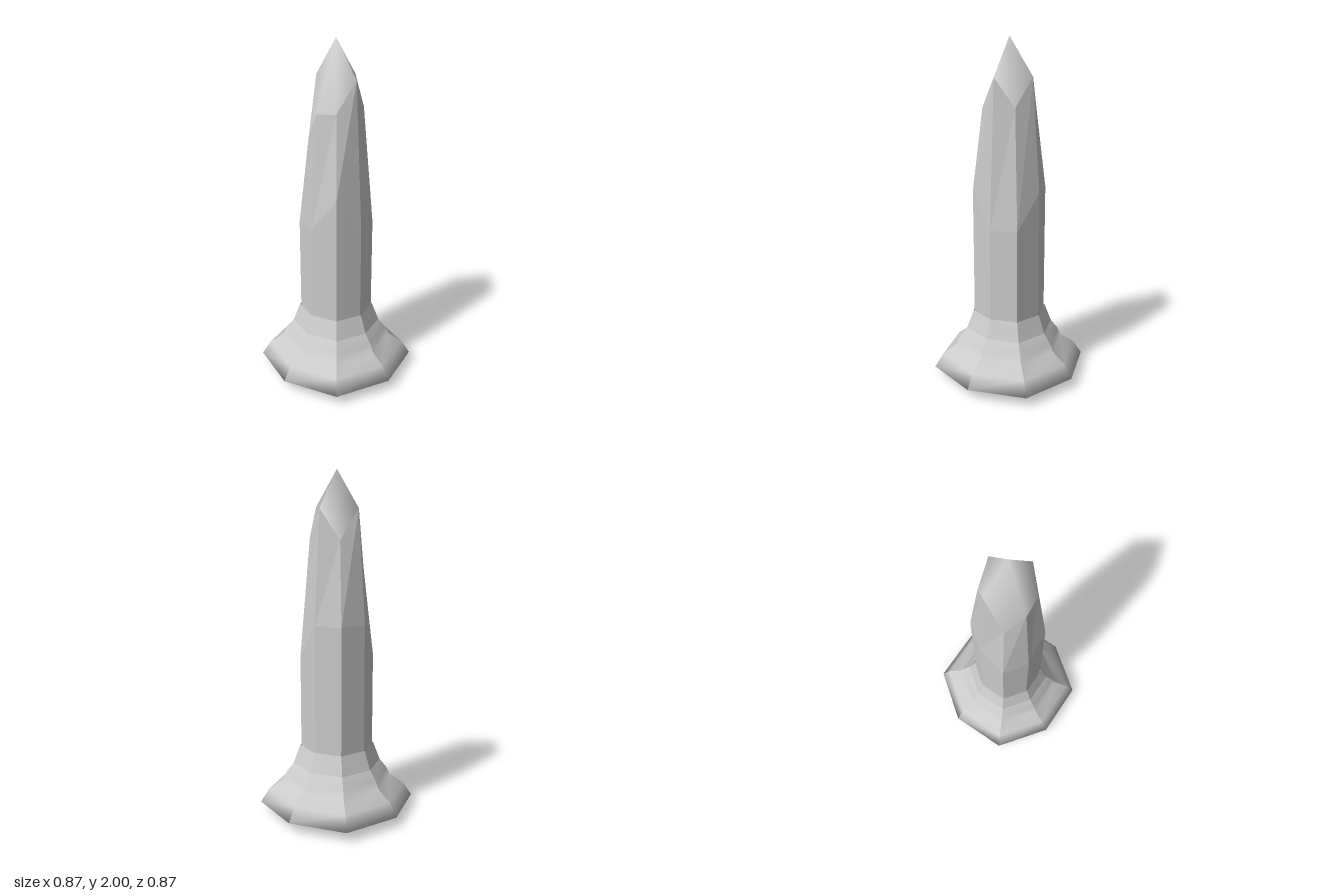
import * as THREE from 'three';

const SIDES = 8;

// One point of an octagonal ring; corner 0 faces +z, corner 2 faces +x
function corner(i, radius, y) {
  const a = (i % SIDES) * Math.PI * 2 / SIDES;
  return [Math.sin(a) * radius, y, Math.cos(a) * radius];
}

function geometryFrom(points, index) {
  const g = new THREE.BufferGeometry();
  g.setAttribute('position', new THREE.Float32BufferAttribute(points.flat(), 3));
  g.setIndex(index);
  return g;
}

// Skin rings (lowest first) side by side; each side keeps its own vertices,
// so it is smooth along the profile and sharp at the corners
function skin(rings, flat = false) {
  const points = [], index = [];
  for (let i = 0; i < SIDES; i++) {
    const start = points.length;
    rings.forEach((ring, k) => {
      points.push(ring[i], ring[(i + 1) % SIDES]);
      if (k === 0) return;
      const c = start + 2 * k, a = c - 2;
      index.push(a, a + 1, c + 1, a, c + 1, c);
    });
  }
  let g = geometryFrom(points, index);
  if (flat) g = g.toNonIndexed();
  g.computeVertexNormals();
  return g;
}

export function createModel() {
  const group = new THREE.Group();
  const material = new THREE.MeshStandardMaterial({ color: 0xcccccc, side: THREE.DoubleSide });
  const add = (name, geometry) => {
    const mesh = new THREE.Mesh(geometry, material);
    mesh.name = name;
    group.add(mesh);
  };
  const ringOf = (radius, heightAt) =>
    Array.from({ length: SIDES }, (_, i) => corner(i, radius(i), heightAt(i)));

  // Hollow stepped base: diagonal corners reach slightly further out
  const baseRing = ([r, y, lift = 0]) =>
    ringOf(i => r * (i % 2 ? 1.06 : 1), i => y + (i % 2 ? lift : 0));
  add('baseSkirt', skin([
    [0.31, 0, 0.02], [0.433, 0.06], [0.385, 0.14],
    [0.305, 0.2], [0.285, 0.245], [0.245, 0.3],
  ].map(baseRing)));
  add('baseCollar', skin([[0.245, 0.3], [0.206, 0.41]].map(baseRing), true));

  // Crystal shaft: straight, then tapering from uneven heights
  const bottom = [0.1, 0.3, 0.3, 0.3, 0.3, 0.3, 0.3, 0.3];
  const waist = [0.95, 0.95, 1.15, 1.15, 1.15, 0.95, 0.96, 1.15];
  const shoulder = [1.79, 1.63, 1.79, 1.62, 1.79, 1.46, 1.61, 1.62];
  const shaftRadius = i => (i % 2 ? 0.212 : 0.199);
  const shoulderRing = ringOf(() => 0.152, i => shoulder[i]);
  add('crystalShaft', skin([
    ringOf(shaftRadius, i => bottom[i]),
    ringOf(shaftRadius, i => waist[i]),
    shoulderRing,
  ], true));

  // Smooth pointed tip
  const fan = [];
  for (let i = 0; i < SIDES; i++) fan.push(i, (i + 1) % SIDES, SIDES);
  const tip = geometryFrom([...shoulderRing, [0, 2, 0]], fan);
  tip.computeVertexNormals();
  add('crystalTip', tip);

  return group;
}
